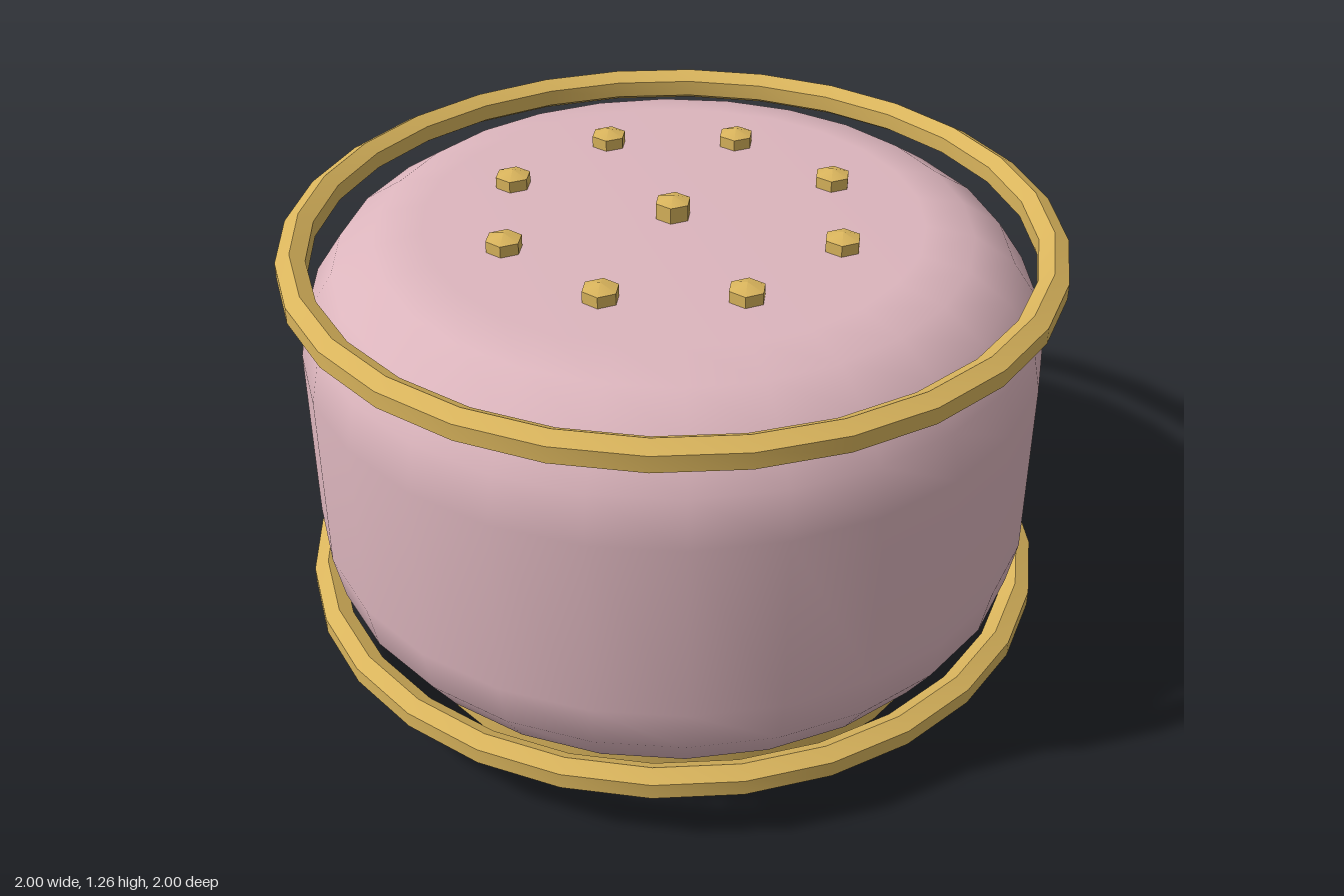
import * as THREE from 'three';
import { toCreasedNormals } from 'three/addons/utils/BufferGeometryUtils.js';

const pink = new THREE.MeshStandardMaterial({ color: 0xdcb5bd });
const gold = new THREE.MeshStandardMaterial({ color: 0xd9b45c });

// Turned shape with a facet corner on the x axis
function turned(points, segments) {
  const profile = points.map(([r, y]) => new THREE.Vector2(r, y));
  return new THREE.LatheGeometry(profile, segments).rotateY(Math.PI / 2);
}

export function createModel() {
  const model = new THREE.Group();
  const add = (name, geometry, material, x = 0, y = 0, z = 0) => {
    const mesh = new THREE.Mesh(geometry, material);
    mesh.name = name;
    mesh.position.set(x, y, z);
    model.add(mesh);
  };

  // Cushioned drum body with rounded shoulders
  const R = 0.9625, corner = 0.325, bottom = 0.065, top = 1.205, steps = 4;
  const profile = [[0, bottom]];
  for (const [cy, start] of [[bottom + corner, -Math.PI / 2], [top - corner, 0]]) {
    for (let i = 0; i <= steps; i++) {
      const a = start + (i / steps) * Math.PI / 2;
      profile.push([R - corner + corner * Math.cos(a), cy + corner * Math.sin(a)]);
    }
  }
  profile.push([0, top]);
  add('body', turned(profile, 26), pink);

  // Round foot plate
  const base = new THREE.CylinderGeometry(0.767, 0.767, 0.065, 26).rotateY(Math.PI / 2);
  add('base', base, gold, 0, 0.0325, 0);

  // Hexagonal-section rings around the shoulders
  const section = [];
  for (let i = 0; i <= 6; i++) {
    const a = Math.PI / 6 + i * Math.PI / 3;
    section.push([0.9625 + 0.0433 * Math.cos(a), 0.0433 * Math.sin(a)]);
  }
  const ring = toCreasedNormals(turned(section, 28), Math.PI / 6);
  add('lowerRing', ring, gold, 0, 0.18, 0);
  add('upperRing', ring, gold, 0, 1.141, 0);

  // Hexagonal studs: one in the middle, eight in a circle
  const stud = toCreasedNormals(
    turned([[0, -0.03], [0.047, -0.03], [0.047, 0.03], [0, 0.045]], 6), Math.PI / 6);
  add('centreStud', stud, gold, 0, top + 0.013, 0);
  for (let i = 0; i < 8; i++) {
    const a = i * Math.PI / 4;
    add('stud' + (i + 1), stud, gold, 0.45 * Math.cos(a), top, 0.45 * Math.sin(a));
  }
  return model;
}
